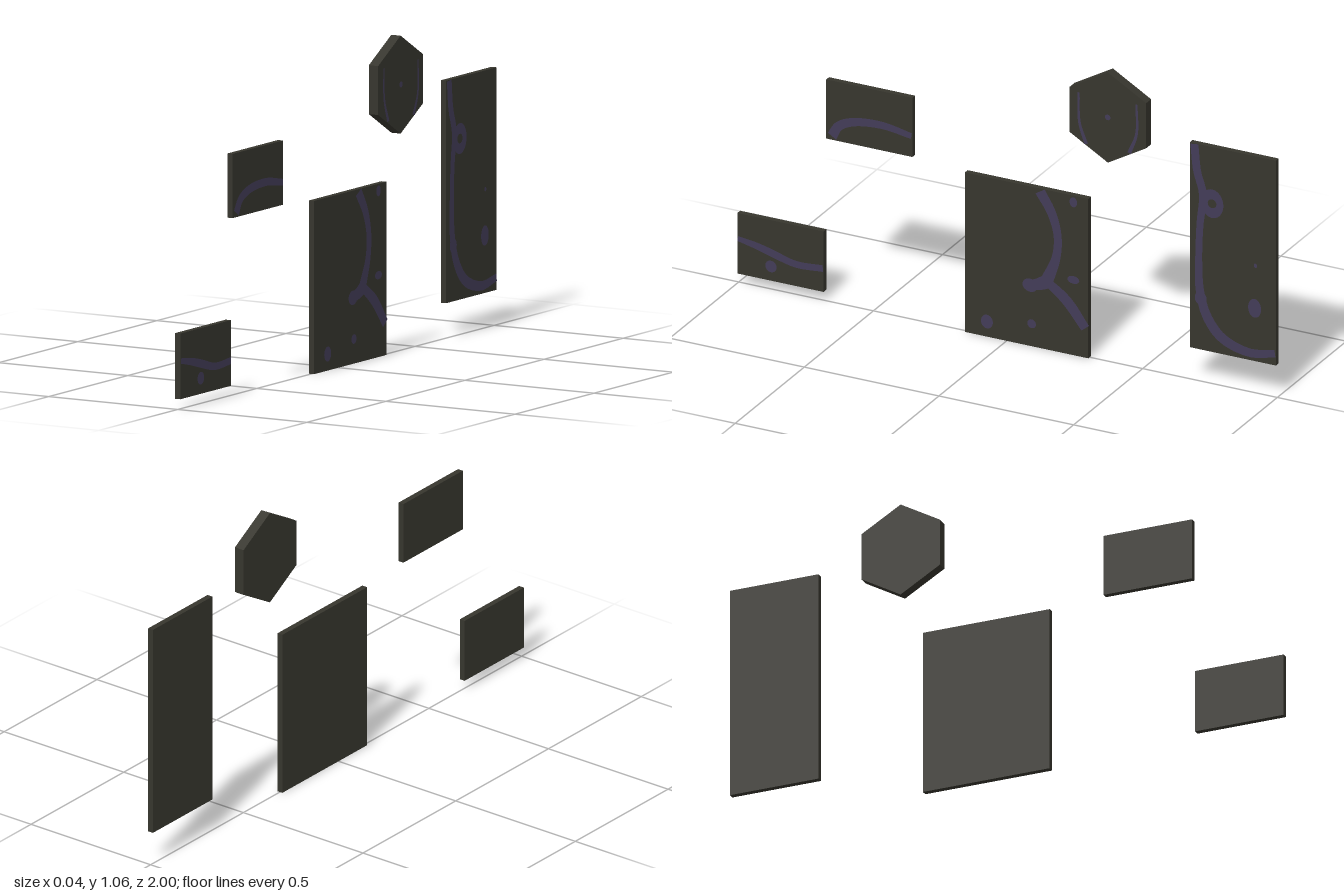
import * as THREE from 'three';

export function createModel() {
  const model = new THREE.Group();
  const slate = new THREE.MeshStandardMaterial({ color: 0x37362e });
  slate.name = 'dark slate';
  const violet = new THREE.MeshStandardMaterial({ color: 0x433c58 });
  violet.name = 'dusky violet';

  const add = (name, geometry, material) => {
    const mesh = new THREE.Mesh(geometry, material);
    mesh.name = name;
    model.add(mesh);
    return mesh;
  };

  // Rectangular slab, given by its z and y extents
  const slab = (name, z0, z1, y0, y1) =>
    add(name, new THREE.BoxGeometry(0.02, y1 - y0, z1 - z0), slate)
      .position.set(0, (y0 + y1) / 2, (z0 + z1) / 2);

  // Flat painted shape on the +x face (shape x = -z, shape y = y)
  const paint = (name, shape, x) => {
    const geometry = new THREE.ShapeGeometry(shape, 20);
    geometry.rotateY(Math.PI / 2).translate(x, 0, 0);
    add(name, geometry, violet);
  };

  // Curved vein through [z, y, width] points
  const vein = (name, points, x = 0.0115) => {
    const curve = new THREE.CatmullRomCurve3(points.map(([z, y, w]) => new THREE.Vector3(-z, y, w)));
    const left = [], right = [], n = 30;
    for (let i = 0; i <= n; i++) {
      const p = curve.getPoint(i / n), t = curve.getTangent(i / n);
      const normal = new THREE.Vector2(-t.y, t.x).normalize().multiplyScalar(p.z / 2);
      left.push(new THREE.Vector2(p.x, p.y).add(normal));
      right.unshift(new THREE.Vector2(p.x, p.y).sub(normal));
    }
    paint(name, new THREE.Shape([...left, ...right]), x);
  };

  // Oval spot, optionally with a round hole
  const spot = (name, z, y, rz, ry, hole = 0, x = 0.0125) => {
    const shape = new THREE.Shape();
    shape.absellipse(-z, y, rz, ry, 0, Math.PI * 2);
    if (hole) shape.holes.push(new THREE.Path().absarc(-z, y, hole, 0, Math.PI * 2));
    paint(name, shape, x);
  };

  // Slabs
  slab('lowFrontSlab', 0.68, 1, 0.035, 0.255);
  slab('highFrontSlab', 0.35, 0.67, 0.595, 0.81);
  slab('middleSlab', -0.303, 0.155, 0, 0.58);
  slab('tallRearSlab', -1, -0.68, 0.12, 0.865);

  // Thicker hexagonal tile with a corner pointing up
  const hex = new THREE.CylinderGeometry(0.164, 0.164, 0.036, 6, 1, false, Math.PI / 6)
    .rotateZ(Math.PI / 2).toNonIndexed();
  hex.computeVertexNormals();
  add('hexagonTile', hex, slate).position.set(0, 0.895, -0.38);

  // Low front slab markings
  vein('lowFrontVein', [[0.998, 0.163, 0.018], [0.933, 0.152, 0.025], [0.869, 0.136, 0.028],
    [0.783, 0.115, 0.025], [0.682, 0.12, 0.024]]);
  spot('lowFrontSpot', 0.874, 0.088, 0.021, 0.021);

  // High front slab markings
  vein('highFrontVein', [[0.648, 0.609, 0.036], [0.623, 0.65, 0.032], [0.57, 0.676, 0.03],
    [0.463, 0.687, 0.027], [0.353, 0.671, 0.022]]);

  // Middle slab markings
  vein('middleVein', [[-0.125, 0.57, 0.04], [-0.168, 0.5, 0.035], [-0.19, 0.42, 0.03],
    [-0.184, 0.34, 0.032], [-0.15, 0.25, 0.045]]);
  vein('middleBranch', [[-0.13, 0.262, 0.03], [-0.222, 0.195, 0.04], [-0.293, 0.108, 0.036]], 0.012);
  vein('middleStub', [[-0.155, 0.25, 0.05], [-0.12, 0.232, 0.042], [-0.088, 0.222, 0.035]], 0.0118);
  spot('middleStubEnd', -0.088, 0.222, 0.028, 0.024);
  [[-0.249, 0.275, 0.022, 0.014], [-0.094, 0.083, 0.016, 0.016], [0.072, 0.056, 0.022, 0.025],
    [-0.249, 0.557, 0.014, 0.018]].forEach((s) => spot('middleSpot', ...s));

  // Tall rear slab markings
  vein('tallVein', [[-0.698, 0.863, 0.03], [-0.708, 0.767, 0.03], [-0.73, 0.687, 0.03],
    [-0.719, 0.58, 0.026], [-0.714, 0.447, 0.026], [-0.719, 0.329, 0.032], [-0.746, 0.243, 0.037],
    [-0.8, 0.179, 0.038], [-0.901, 0.147, 0.032], [-0.997, 0.163, 0.026]]);
  spot('tallRing', -0.764, 0.66, 0.042, 0.052, 0.016);
  [[-0.922, 0.313, 0.024, 0.034], [-0.722, 0.307, 0.022, 0.025], [-0.925, 0.468, 0.006, 0.008]]
    .forEach((s) => spot('tallSpot', ...s));

  // Hexagon markings
  vein('hexagonVein', [[-0.272, 0.965, 0.008], [-0.275, 0.858, 0.01], [-0.3, 0.783, 0.014]], 0.0195);
  vein('hexagonVein', [[-0.487, 0.965, 0.008], [-0.487, 0.858, 0.01], [-0.46, 0.783, 0.014]], 0.0195);
  spot('hexagonDot', -0.38, 0.896, 0.01, 0.01, 0, 0.0195);

  return model;
}
